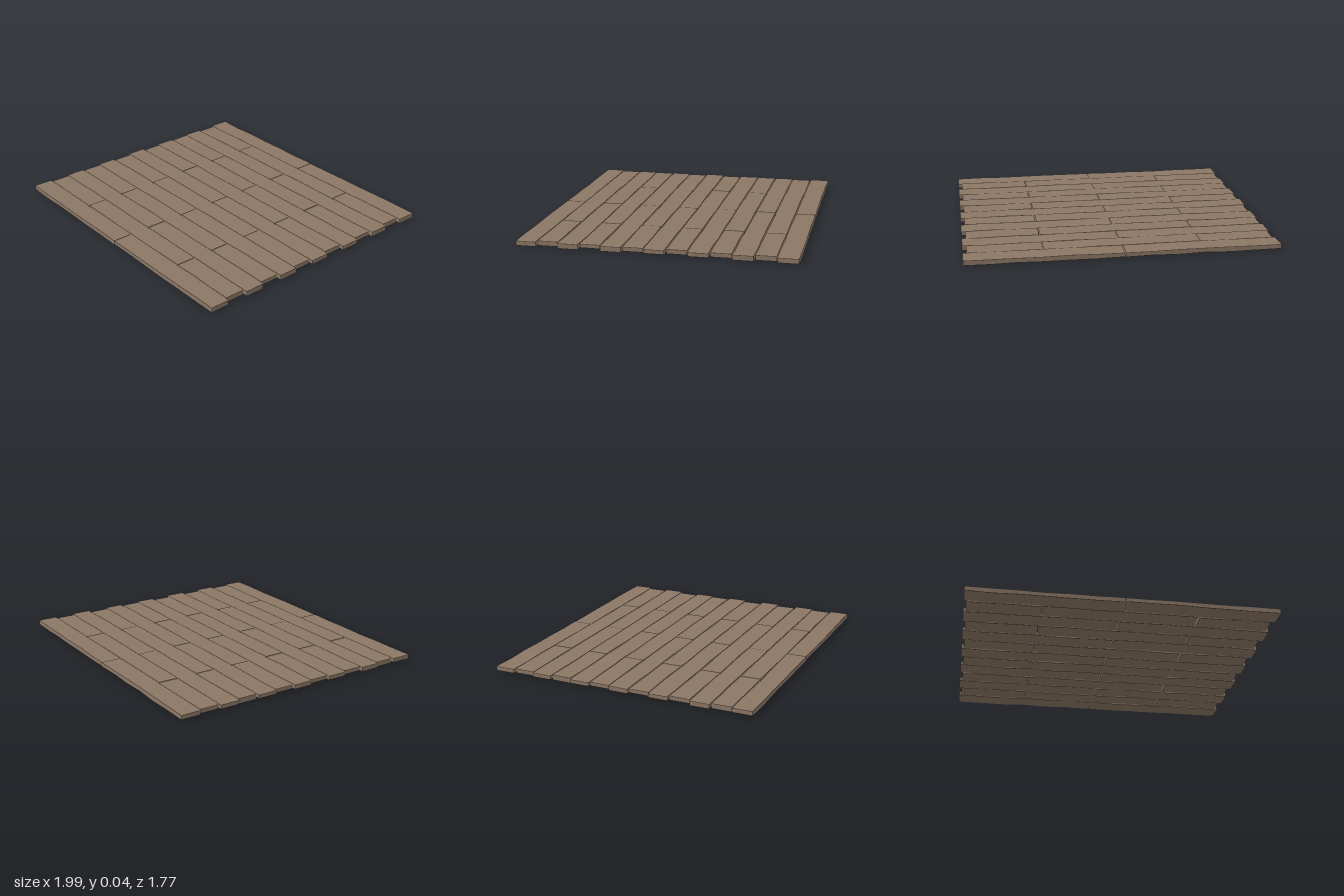
import * as THREE from 'three';

const wood = new THREE.MeshStandardMaterial({ color: 0x8c7765, flatShading: true });
const wornEdge = new THREE.MeshStandardMaterial({ color: 0x40352c, flatShading: true });

const HALF_WIDTH = 0.065, CHAMFER = 0.003, ROWS = 13, PITCH = 0.1367;

// Small seeded generator, so the hand-cut unevenness is repeatable
function seeded(seed) {
  let s = seed;
  return () => (s = (s * 16807) % 2147483647) / 2147483647;
}

// Chamfered rectangle as [z, y] points, running along the top, back, bottom, front
function section(zBack, zFront, low, high, c) {
  return [
    [zFront - c, high], [zBack + c, high], [zBack, high - c], [zBack, low + c],
    [zBack + c, low], [zFront - c, low], [zFront, low + c], [zFront, high - c],
  ];
}

function toMesh(name, positions, material) {
  const geometry = new THREE.BufferGeometry();
  geometry.setAttribute('position', new THREE.Float32BufferAttribute(positions, 3));
  geometry.computeVertexNormals();
  const mesh = new THREE.Mesh(geometry, material);
  mesh.name = name;
  return mesh;
}

// Uneven board lofted along x, with its chamfers in a darker tone
function makePlank(x0, x1, z, rand) {
  const steps = Math.max(3, Math.round((x1 - x0) / 0.16));
  const loops = [];
  const addLoop = (x, s) => loops.push(s.map(([pz, py]) => [x, py, pz]));
  for (let i = 0; i <= steps; i++) {
    const x = THREE.MathUtils.lerp(x0 + CHAMFER, x1 - CHAMFER, i / steps);
    const back = z - HALF_WIDTH + (rand() - 0.5) * 0.005;
    const front = z + HALF_WIDTH + (rand() - 0.5) * 0.005;
    const low = 0.004 + rand() * 0.008, high = 0.035 + rand() * 0.005;
    const inset = section(back + CHAMFER, front - CHAMFER, low + CHAMFER, high - CHAMFER, CHAMFER);
    if (i === 0) addLoop(x0, inset);
    addLoop(x, section(back, front, low, high, CHAMFER));
    if (i === steps) addLoop(x1, inset);
  }

  const faces = [], edges = [];
  const last = loops.length - 1;
  for (let i = 0; i < last; i++) {
    for (let k = 0; k < 8; k++) {
      const n = (k + 1) % 8;
      const a = loops[i][k], b = loops[i + 1][k], c = loops[i + 1][n], d = loops[i][n];
      const isChamfer = k % 2 === 1 || i === 0 || i === last - 1;
      (isChamfer ? edges : faces).push(...a, ...b, ...c, ...a, ...c, ...d);
    }
  }
  // End grain
  for (let k = 1; k < 7; k++) {
    const s = loops[0], e = loops[last];
    faces.push(...s[0], ...s[k], ...s[k + 1], ...e[0], ...e[k + 1], ...e[k]);
  }

  const plank = new THREE.Group();
  plank.add(toMesh('plankFaces', faces, wood), toMesh('plankEdges', edges, wornEdge));
  return plank;
}

export function createModel() {
  const floor = new THREE.Group();
  floor.name = 'plankFloor';
  const rand = seeded(71);

  // Rows alternate between two long boards and a long board between two short ones
  const layouts = [
    [[-0.997, -0.003], [0.002, 0.994]],
    [[-0.981, -0.51], [-0.503, 0.491], [0.498, 0.968]],
  ];
  for (let row = 0; row < ROWS; row++) {
    const z = (row - (ROWS - 1) / 2) * PITCH;
    layouts[row % 2].forEach(([x0, x1], i) => {
      const plank = makePlank(x0, x1, z, rand);
      plank.name = `plankRow${row + 1}Board${i + 1}`;
      floor.add(plank);
    });
  }
  return floor;
}
